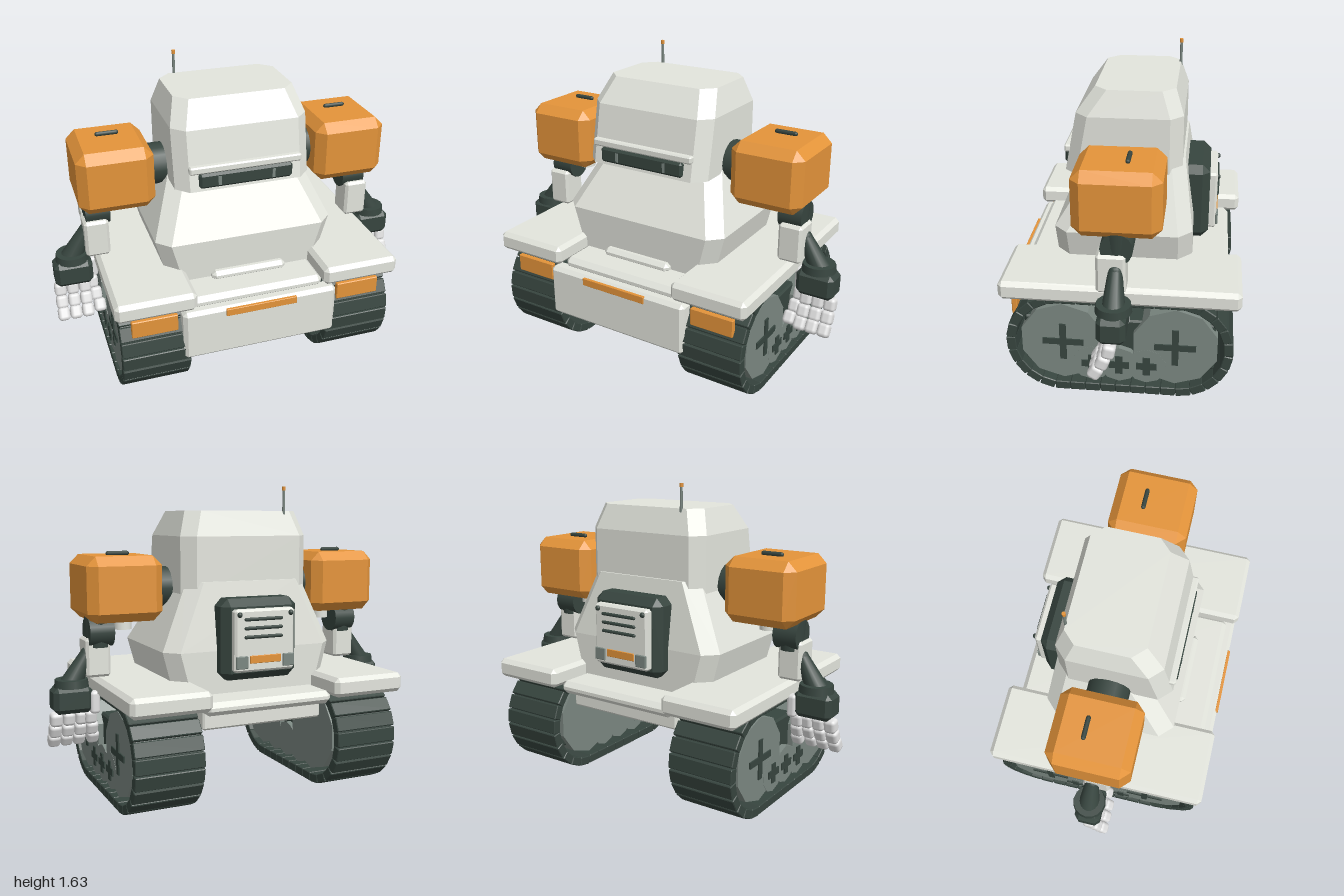
import * as THREE from 'three';
import { ConvexGeometry } from 'three/addons/geometries/ConvexGeometry.js';
import { RoundedBoxGeometry } from 'three/addons/geometries/RoundedBoxGeometry.js';

const mat = (name, color) => {
  const m = new THREE.MeshStandardMaterial({ color });
  m.name = name;
  return m;
};

// Box with every edge cut at an angle, given by its limits
function bevelBox([x0, x1], [y0, y1], [z0, z1], c) {
  const h = [(x1 - x0) / 2, (y1 - y0) / 2, (z1 - z0) / 2], pts = [];
  for (const sx of [-1, 1]) for (const sy of [-1, 1]) for (const sz of [-1, 1])
    for (let keep = 0; keep < 3; keep++) {
      const p = h.map((v, i) => (i === keep ? v : v - c));
      pts.push(new THREE.Vector3(sx * p[0] + (x0 + x1) / 2, sy * p[1] + (y0 + y1) / 2, sz * p[2] + (z0 + z1) / 2));
    }
  return new ConvexGeometry(pts);
}

// Stack of chamfered rectangles: [y, half width, front z, back z, chamfer]
function faceted(sections) {
  const pts = [];
  for (const [y, x, f, b, c] of sections)
    for (const s of [-1, 1])
      for (const [px, pz] of [[x - c, f], [x, f - c], [x, b + c], [x - c, b]])
        pts.push(new THREE.Vector3(s * px, y, pz));
  return new ConvexGeometry(pts);
}

function stadium(path, r, halfLength, cy) {
  path.absarc(halfLength, cy, r, -Math.PI / 2, Math.PI / 2, false);
  path.absarc(-halfLength, cy, r, Math.PI / 2, Math.PI * 1.5, false);
  path.closePath();
  return path;
}

// Ten-sided flat-shaded wheel with a corner pointing up
function wheelDisc(r) {
  const g = new THREE.CylinderGeometry(r, r, 0.34, 10).rotateZ(Math.PI / 2).rotateX(Math.PI / 10).toNonIndexed();
  g.computeVertexNormals();
  return g;
}

export function createModel() {
  const root = new THREE.Group();
  const body = mat('body grey', 0xe3e5dd);
  const dark = mat('dark green', 0x37453f);
  const orange = mat('orange', 0xe4943a);
  const wheelGrey = mat('wheel grey', 0x7b8781);
  const handGrey = mat('hand grey', 0xe2e2e2);

  const add = (name, geometry, material, x = 0, y = 0, z = 0) => {
    const m = new THREE.Mesh(geometry, material);
    m.name = name;
    m.position.set(x, y, z);
    root.add(m);
    return m;
  };
  const block = (name, material, xr, yr, zr, c = 0.01) => add(name, bevelBox(xr, yr, zr, c), material);
  const side = (s, a, b) => (s > 0 ? [a, b] : [-b, -a]);
  const rod = (name, a, b, rA, rB, material, sides = 16) => {
    const p = new THREE.Vector3(...a), q = new THREE.Vector3(...b), d = q.clone().sub(p);
    const m = add(name, new THREE.CylinderGeometry(rB, rA, d.length(), sides), material);
    m.position.copy(p).add(q).multiplyScalar(0.5);
    m.quaternion.setFromUnitVectors(new THREE.Vector3(0, 1, 0), d.normalize());
    return m;
  };

  // Chassis
  block('hull', body, [-0.34, 0.34], [0.41, 0.54], [-0.45, 0.53]);
  block('deck', body, [-0.36, 0.36], [0.5, 0.567], [-0.54, 0.54], 0.025);
  block('frontPlate', body, [-0.42, 0.42], [0.235, 0.52], [0.5, 0.59], 0.02);
  block('frontStripe', orange, [-0.195, 0.19], [0.47, 0.51], [0.58, 0.597], 0.002);
  block('frontLip', body, [-0.205, 0.205], [0.55, 0.605], [0.3, 0.395], 0.02);

  // Torso and head
  add('torso', faceted([
    [0.56, 0.425, 0.355, -0.345, 0.07], [0.79, 0.485, 0.365, -0.345, 0.07], [1.14, 0.335, 0.14, -0.295, 0.07]
  ]), body);
  add('head', faceted([
    [1.06, 0.362, 0.32, -0.283, 0.065], [1.37, 0.362, 0.26, -0.283, 0.065], [1.5, 0.32, 0.165, -0.24, 0.065]
  ]), body);
  block('brow', body, [-0.3, 0.3], [1.155, 1.195], [0.27, 0.325], 0.008);
  block('visor', dark, [-0.25, 0.25], [1.075, 1.155], [0.28, 0.331], 0.012);
  for (const s of [-1, 1])
    add('visorDivider', new THREE.BoxGeometry(0.016, 0.05, 0.008), wheelGrey, s * 0.145, 1.113, 0.329);

  // Antenna
  rod('antenna', [-0.223, 1.48, -0.24], [-0.223, 1.615, -0.24], 0.008, 0.007, wheelGrey, 8);
  add('antennaTip', new THREE.CylinderGeometry(0.01, 0.01, 0.02, 8), orange, -0.223, 1.616, -0.24);

  // Backpack with vents
  block('backpack', dark, [-0.215, 0.215], [0.64, 1.06], [-0.425, -0.2], 0.04);
  block('backPanel', body, [-0.17, 0.17], [0.69, 1.01], [-0.465, -0.4], 0.012);
  for (let i = 0; i < 3; i++) {
    const vent = add('vent', new THREE.CapsuleGeometry(0.009, 0.2, 3, 8), dark, 0.01, 0.96 - i * 0.045, -0.466);
    vent.rotation.z = Math.PI / 2;
  }
  block('panelStripe', orange, [-0.088, 0.088], [0.735, 0.775], [-0.471, -0.462], 0.002);
  for (const s of [-1, 1]) {
    block('panelCorner', wheelGrey, side(s, 0.1, 0.165), [0.71, 0.775], [-0.474, -0.46], 0.003);
    add('panelStud', new THREE.SphereGeometry(0.014, 10, 8), dark, s * 0.145, 0.985, -0.466);
  }

  // Shared track, wheel and hand pieces
  const R = 0.262, L = 0.29, CY = 0.285, LINKS = 36;
  const link = bevelBox([-0.18, 0.18], [-0.024, 0.024], [-0.038, 0.038], 0.004);
  const beltShape = stadium(new THREE.Shape(), R + 0.008, L, CY);
  beltShape.holes.push(stadium(new THREE.Path(), R - 0.018, L, CY));
  const belt = new THREE.ExtrudeGeometry(beltShape, { depth: 0.34, bevelEnabled: false, curveSegments: 16 });
  belt.rotateY(Math.PI / 2).translate(-0.17, 0, 0);
  const bigWheel = wheelDisc(0.222), smallWheel = wheelDisc(0.102);
  const segment = new RoundedBoxGeometry(0.064, 0.074, 0.064, 2, 0.02);

  for (const s of [-1, 1]) {
    // Fender and front lamp
    block('fender', body, side(s, 0.345, 0.765), [0.54, 0.642], [-0.603, 0.6], 0.022);
    block('frontLamp', orange, side(s, 0.44, 0.68), [0.41, 0.505], [0.525, 0.553], 0.004);

    // Track links spaced along the loop
    add('trackBelt', belt, dark, s * 0.56);
    const total = 2 * Math.PI * R + 4 * L;
    for (let i = 0; i < LINKS; i++) {
      let d = (i + 0.5) / LINKS * total;
      const half = d < total / 2 ? 1 : -1;
      d %= total / 2;
      // angle 0 points down; straight run first, then the round end
      const a = d < 2 * L ? 0 : (d - 2 * L) / R;
      const z = half * ((d < 2 * L ? d - L : L) + Math.sin(a) * R);
      const m = add('trackLink', link, dark, s * 0.56, CY - half * Math.cos(a) * R, z);
      m.rotation.x = -a + (half < 0 ? Math.PI : 0);
    }

    // Wheels with cross-shaped hubs
    block('trackCore', dark, side(s, 0.42, 0.7), [0.15, 0.42], [-0.485, 0.485]);
    const wheels = [[0.285, 0.295, 1], [-0.285, 0.295, 1], [0.14, 0.17, 0], [0, 0.17, 0], [-0.14, 0.17, 0]];
    for (const [z, y, big] of wheels) {
      add('wheel', big ? bigWheel : smallWheel, wheelGrey, s * (big ? 0.56 : 0.561), y, z);
      const len = big ? 0.21 : 0.105, w = big ? 0.034 : 0.038;
      add('hubCross', new THREE.BoxGeometry(0.009, len, w), dark, s * 0.733, y, z);
      add('hubCross', new THREE.BoxGeometry(0.009, w, len), dark, s * 0.733, y, z);
    }

    // Shoulder
    rod('shoulderAxle', [s * 0.28, 1.1, 0], [s * 0.46, 1.1, 0], 0.11, 0.11, dark);
    block('shoulderBox', orange, side(s, 0.443, 0.838), [0.942, 1.275], [-0.215, 0.212], 0.048);
    const handle = add('shoulderHandle', new THREE.CapsuleGeometry(0.012, 0.1, 4, 8), dark, s * 0.64, 1.284, -0.045);
    handle.rotation.z = Math.PI / 2;

    // Arm
    rod('armPeg', [s * 0.605, 0.885, 0], [s * 0.605, 0.96, 0], 0.046, 0.046, body);
    rod('upperArm', [s * 0.74, 0.8, 0], [s * 0.74, 0.97, 0], 0.06, 0.07, dark);
    rod('elbowJoint', [s * 0.67, 0.88, 0], [s * 0.8, 0.88, 0], 0.08, 0.08, dark);
    block('forearm', body, side(s, 0.685, 0.815), [0.645, 0.85], [-0.045, 0.1], 0.014);
    rod('wristCone', [s * 0.89, 0.61, 0.005], [s * 0.8, 0.765, 0.005], 0.058, 0.035, dark);
    add('wristTip', new THREE.SphereGeometry(0.036, 12, 8), dark, s * 0.8, 0.765, 0.005);
    add('wristCollar', new THREE.CylinderGeometry(0.085, 0.09, 0.04, 16), dark, s * 0.885, 0.62, 0.005);
    block('palm', dark, side(s, 0.785, 0.99), [0.465, 0.605], [-0.06, 0.08], 0.025);

    // Fingers curling forward, then the thumb
    const curl = [[0.43, 0.02, 0.2], [0.365, 0.05, 0.4], [0.307, 0.085, 0.55]];
    for (let f = 0; f < 3; f++)
      for (const [y, z, tilt] of curl)
        add('finger', segment, handGrey, s * (0.967 - f * 0.066), y, z).rotation.x = -tilt;
    for (const [i, [y, z, tilt]] of curl.entries())
      add('thumb', segment, handGrey, s * (0.79 - i * 0.012), y + 0.005, z - 0.02).rotation.x = -tilt;
    add('thumbBase', new RoundedBoxGeometry(0.05, 0.12, 0.06, 2, 0.018), handGrey, s * 0.775, 0.515, -0.03);
  }
  return root;
}
